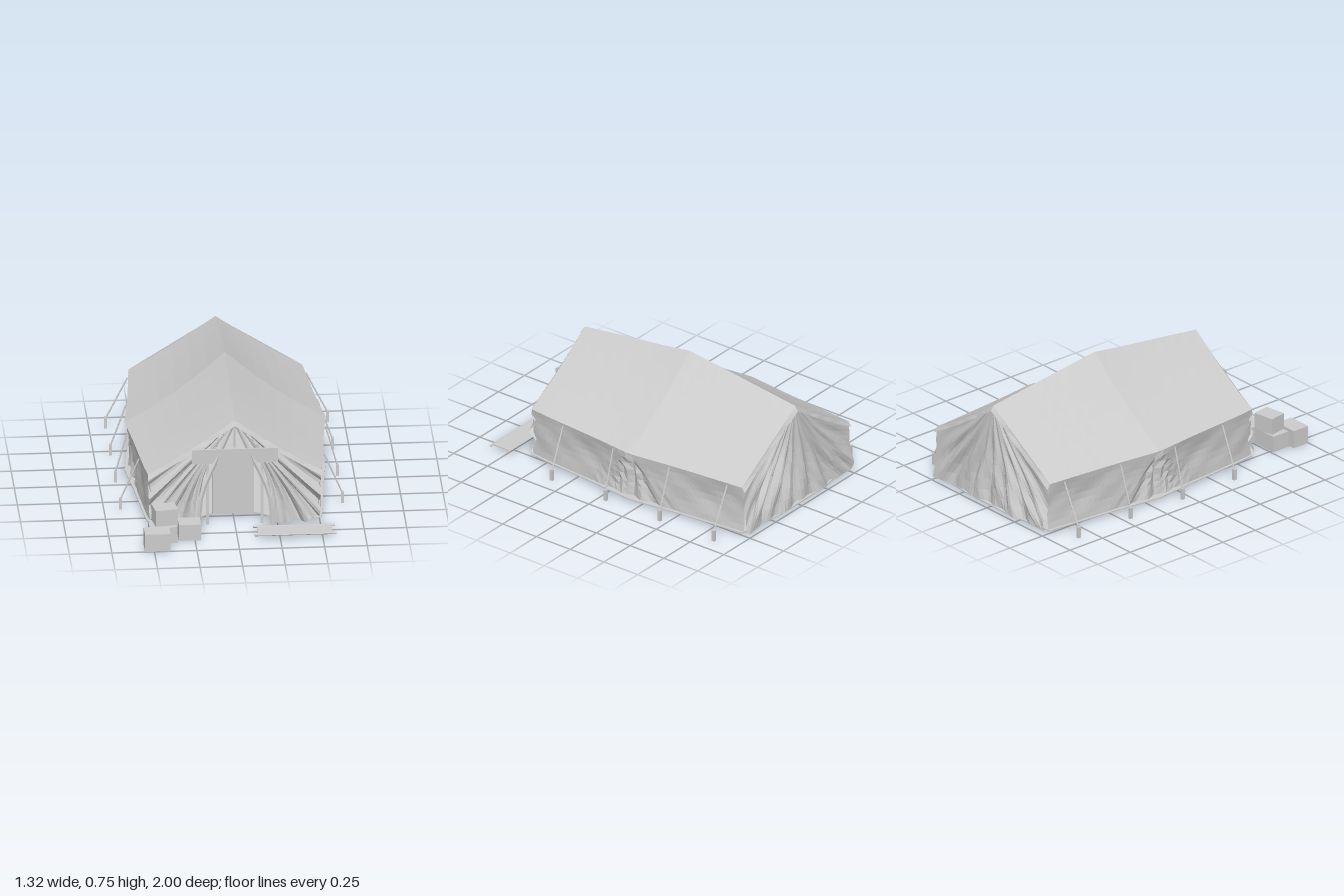
import * as THREE from 'three';

const fabric = new THREE.MeshStandardMaterial({ color: 0xcccccc, flatShading: true, side: THREE.DoubleSide });
const solid = new THREE.MeshStandardMaterial({ color: 0xcccccc, flatShading: true });

const BACK = -0.95, FRONT = 0.61, EAVE = 0.325, BASE = 0.02;

// piecewise linear curve through [position, value] pairs
function ramp(points, t) {
  if (t <= points[0][0]) return points[0][1];
  for (let i = 1; i < points.length; i++) {
    const [a, va] = points[i - 1], [b, vb] = points[i];
    if (t <= b) return va + (vb - va) * (t - a) / (b - a);
  }
  return points[points.length - 1][1];
}
const halfWidth = z => ramp([[BACK, 0.51], [-0.5, 0.55], [-0.17, 0.59], [0.1, 0.56], [0.5, 0.525], [FRONT, 0.51]], z);
const ridge = z => ramp([[BACK, 0.65], [-0.4, 0.725], [-0.17, 0.755], [0, 0.73], [0.3, 0.695], [FRONT, 0.655]], z);

// irregular cloth folds, between -1 and 1
const crumple = (a, b) => 0.5 * Math.sin(7.3 * a + 2.1 * b) + 0.3 * Math.sin(13.7 * a - 5.2 * b + 1) + 0.2 * Math.sin(23.1 * a + 9.4 * b);

// grid surface from a rule (u, v in 0..1) -> [x, y, z]
function sheet(name, nu, nv, rule) {
  const pos = [], index = [];
  for (let j = 0; j <= nv; j++)
    for (let i = 0; i <= nu; i++) pos.push(...rule(i / nu, j / nv));
  for (let j = 0; j < nv; j++)
    for (let i = 0; i < nu; i++) {
      const a = j * (nu + 1) + i, b = a + 1, c = a + nu + 1, d = c + 1;
      index.push(a, c, b, b, c, d);
    }
  const g = new THREE.BufferGeometry();
  g.setAttribute('position', new THREE.Float32BufferAttribute(pos, 3));
  g.setIndex(index);
  g.computeVertexNormals();
  const m = new THREE.Mesh(g, fabric);
  m.name = name;
  return m;
}

function box(name, w, h, d, x, y, z, turn = 0) {
  const m = new THREE.Mesh(new THREE.BoxGeometry(w, h, d), solid);
  m.name = name;
  m.position.set(x, y, z);
  m.rotation.y = turn;
  return m;
}

function rod(name, from, to, r) {
  const a = new THREE.Vector3(...from), b = new THREE.Vector3(...to);
  const m = new THREE.Mesh(new THREE.CylinderGeometry(r, r, a.distanceTo(b), 6), solid);
  m.name = name;
  m.position.copy(a).add(b).multiplyScalar(0.5);
  m.quaternion.setFromUnitVectors(new THREE.Vector3(0, 1, 0), b.sub(a).normalize());
  return m;
}

// one sagging slope of the roof
function roofPoint(s, u, z) {
  const mid = 1 - Math.min(1, Math.abs(z + 0.17) / 0.78);
  const f = 1 - u - (0.03 + 0.035 * mid) * Math.sin(Math.PI * u);
  return [s * u * halfWidth(z), EAVE + (ridge(z) - EAVE) * f, z];
}

// side wall gathered into a fan of folds at its middle
function wallPoint(s, u, v) {
  const z = BACK + (FRONT - BACK) * u;
  const y = EAVE + (BASE - EAVE) * v;
  const d = Math.abs(z + 0.17), spread = 0.34 * v;
  const fan = d < spread ? (1 - d / spread) * (0.02 + 0.018 * Math.cos(d / spread * 14)) : 0;
  const hang = Math.sin(Math.PI * Math.min(1, v)) * (0.012 + 0.012 * crumple(z, v));
  return [s * (halfWidth(z) - 0.005 - 0.01 * v - fan - hang), y, z];
}

export function createModel() {
  const tent = new THREE.Group();
  tent.name = 'tent';

  for (const s of [-1, 1]) {
    const side = s > 0 ? 'left' : 'right';
    tent.add(sheet(side + 'Roof', 16, 6, (u, v) => roofPoint(s, v, BACK + (FRONT - BACK) * u)));
    tent.add(sheet(side + 'Wall', 44, 7, (u, v) => wallPoint(s, u, v)));

    // hems hanging from both ends of the roof
    for (const [z, out] of [[FRONT, 1], [BACK, -1]])
      tent.add(sheet(side + 'RoofHem', 8, 1, (u, v) => {
        const p = roofPoint(s, u, z);
        return [p[0], p[1] - 0.03 * v, z + out * v * (0.01 + 0.012 * Math.abs(crumple(u * 2, 1)))];
      }));

    // front flap, pleated from the ridge and pulled aside
    const flapEdge = [[0, 0.2], [0.55, 0.5], [1, 0.51]];
    tent.add(sheet(side + 'Flap', 26, 9, (u, v) => {
      const ex = ramp(flapEdge, u), ey = ramp([[0, BASE], [0.55, BASE], [1, EAVE]], u);
      const inner = Math.max(0, 1 - u * 1.6);
      const pleat = 0.024 * Math.sin(u * 34) + 0.018 * crumple(u * 3 + s * 0.4, v);
      const free = Math.min(1, (1 - u) * 5);
      return [
        s * (ex * v + 0.075 * inner * Math.sin(Math.PI * v)),
        0.645 + (ey - 0.645) * v + (u > 0.1 && u < 0.5 ? 0.012 * Math.sin(u * 30) * v : 0),
        FRONT - 0.005 + free * v * (pleat + 0.065 * inner * v),
      ];
    }));

    // gathered inner edge of the flap, tied back
    const tie = new THREE.CatmullRomCurve3([[0.01, 0.63, 0.6], [0.1, 0.43, 0.62], [0.2, 0.2, 0.66], [0.215, 0.02, 0.68]]
      .map(([x, y, z]) => new THREE.Vector3(s * x, y, z)));
    const gather = new THREE.Mesh(new THREE.TubeGeometry(tie, 8, 0.014, 5), solid);
    gather.name = side + 'FlapGather';
    tent.add(gather);

    // entrance post
    tent.add(box(side + 'EntrancePost', 0.018, 0.4, 0.018, s * 0.16, 0.2, 0.61));

    // guy ropes and their stakes
    for (const z of [-0.85, -0.45, -0.05, 0.35]) {
      tent.add(rod(side + 'GuyRope', [s * (halfWidth(z) + 0.005), EAVE - 0.01, z], [s * 0.652, 0.06, z], 0.005));
      tent.add(box(side + 'Stake', 0.018, 0.07, 0.02, s * 0.652, 0.035, z));
    }
  }

  // back wall, pleated outwards from the ridge
  tent.add(sheet('backWall', 60, 9, (u, v) => {
    const ex = ramp([[0, -0.51], [0.18, -0.5], [0.82, 0.5], [1, 0.51]], u);
    const ey = ramp([[0, EAVE], [0.18, BASE], [0.82, BASE], [1, EAVE]], u);
    const free = Math.min(1, u * 6, (1 - u) * 6);
    const pleat = 0.02 * Math.sin(u * 58) * (0.4 + 0.6 * Math.sin(Math.PI * v)) + 0.02 * crumple(u * 4, v * 1.5);
    return [
      ex * v,
      0.645 + (ey - 0.645) * v,
      BACK - free * v * (0.01 + pleat + 0.02 * v * v),
    ];
  }));

  // ground sheet, cut back at the entrance
  const floor = new THREE.Shape();
  const rim = [BACK, -0.5, -0.17, 0.1, 0.5, FRONT];
  floor.moveTo(-0.2, -0.99);
  floor.lineTo(0.2, -0.99);
  rim.forEach(z => floor.lineTo(halfWidth(z), z));
  floor.lineTo(0.24, 0.6);
  floor.quadraticCurveTo(0, 0.34, -0.24, 0.6);
  [...rim].reverse().forEach(z => floor.lineTo(-halfWidth(z), z));
  const ground = new THREE.Mesh(new THREE.ExtrudeGeometry(floor, { depth: 0.006, bevelEnabled: false, curveSegments: 6 }), solid);
  ground.name = 'groundSheet';
  ground.rotation.x = Math.PI / 2;
  ground.position.y = 0.024;
  tent.add(ground);

  // entrance
  tent.add(box('doorPanel', 0.245, 0.37, 0.012, -0.002, 0.205, 0.51));
  tent.add(box('entranceBoard', 0.505, 0.09, 0.012, 0, 0.435, 0.625));
  tent.add(rod('ridgePost', [0, 0.48, 0.6], [0, 0.65, 0.6], 0.007));

  // crates
  const crates = new THREE.Group();
  crates.name = 'crates';
  crates.add(
    box('crate', 0.15, 0.11, 0.11, -0.48, 0.055, 0.945),
    box('crate', 0.165, 0.1, 0.115, -0.437, 0.05, 0.82),
    box('crate', 0.13, 0.1, 0.11, -0.28, 0.05, 0.795),
    box('topCrate', 0.135, 0.1, 0.11, -0.425, 0.155, 0.812, 0.16),
  );
  tent.add(crates);

  // stretcher
  const stretcher = new THREE.Group();
  stretcher.name = 'stretcher';
  stretcher.add(box('stretcherBed', 0.44, 0.005, 0.13, 0.34, 0.025, 0.795));
  for (const z of [0.732, 0.858])
    stretcher.add(rod('stretcherPole', [0.1, 0.025, z], [0.58, 0.025, z], 0.006));
  tent.add(stretcher);

  return tent;
}
